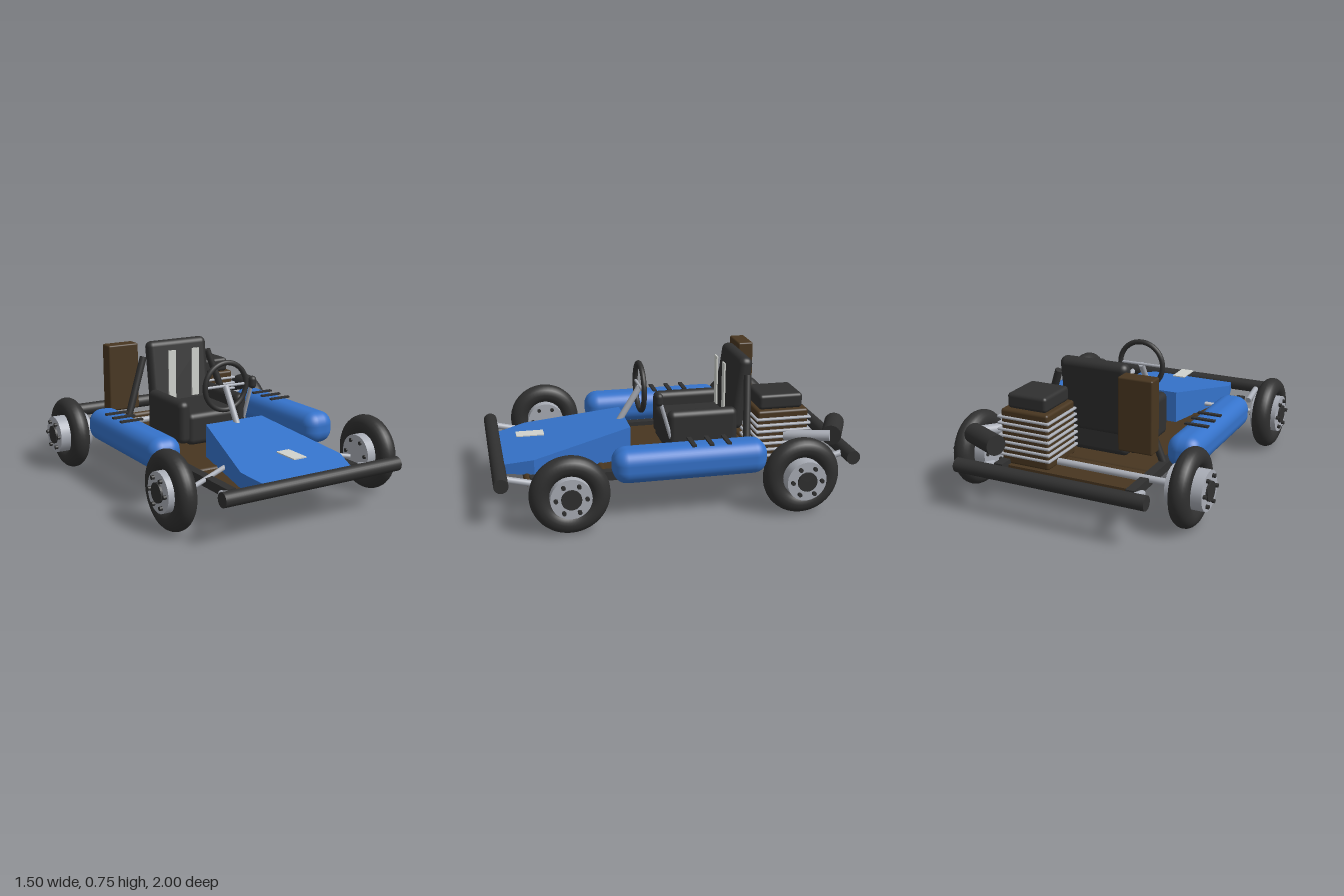
import * as THREE from 'three';
import { RoundedBoxGeometry } from 'three/addons/geometries/RoundedBoxGeometry.js';

const mat = (name, color) => {
  const m = new THREE.MeshStandardMaterial({ color });
  m.name = name;
  return m;
};

export function createModel() {
  const kart = new THREE.Group();
  kart.name = 'kart';
  const black = mat('black', 0x303030);
  const blue = mat('blue', 0x3573cb);
  const brown = mat('brown', 0x483620);
  const metal = mat('metal', 0xa9adb6);
  const light = mat('light grey', 0xd0d2cd);

  const add = (name, geo, material, x = 0, y = 0, z = 0, parent = kart) => {
    const m = new THREE.Mesh(geo, material);
    m.name = name;
    m.position.set(x, y, z);
    parent.add(m);
    return m;
  };
  const box = (name, w, h, d, material, x, y, z) =>
    add(name, new THREE.BoxGeometry(w, h, d), material, x, y, z);
  const soft = (name, w, h, d, r, material, x, y, z) =>
    add(name, new RoundedBoxGeometry(w, h, d, 5, r), material, x, y, z);
  // Round bar between two points
  const rod = (name, a, b, r, material, parent = kart) => {
    const p = new THREE.Vector3(...a), q = new THREE.Vector3(...b);
    const dir = q.clone().sub(p);
    const m = add(name, new THREE.CylinderGeometry(r, r, dir.length(), 24), material, 0, 0, 0, parent);
    m.position.copy(p).add(q).multiplyScalar(0.5);
    m.quaternion.setFromUnitVectors(new THREE.Vector3(0, 1, 0), dir.normalize());
    return m;
  };

  // Chassis: floor pan, side rails and cross tubes
  box('floorPan', 0.74, 0.02, 1.54, brown, 0, 0.19, 0.01);
  for (const s of [-1, 1]) box('sideRail', 0.05, 0.05, 1.62, black, s * 0.387, 0.2, -0.01);
  for (const z of [-0.83, -0.5, 0.4, 0.81])
    rod('crossTube', [-0.385, 0.19, z], [0.385, 0.19, z], 0.021, brown);

  // Bumpers with their brackets
  for (const s of [-1, 1]) {
    rod(s > 0 ? 'frontBumper' : 'rearBumper', [-0.545, 0.245, s * 0.961], [0.545, 0.245, s * 0.961], 0.039, black);
    for (const x of [-0.44, 0.44])
      rod('bumperBracket', [x, 0.205, s * 0.785], [x, 0.245, s * 0.95], 0.018, metal);
  }

  // Wheels: tyre, rim, hub cap and bolts, built along +x and turned for the right side
  const makeWheel = (name, side, z, inner, outer) => {
    const wheel = new THREE.Group();
    wheel.name = name;
    const tyre = new THREE.TorusGeometry(0.155, 0.055, 20, 48);
    tyre.rotateY(Math.PI / 2);
    add('tyre', tyre, black, 0, 0, 0, wheel);
    rod('rim', [inner, 0, 0], [outer, 0, 0], 0.108, metal, wheel);
    rod('hubCap', [outer, 0, 0], [outer + 0.012, 0, 0], 0.053, black, wheel);
    for (let i = 0; i < 6; i++) {
      const a = i * Math.PI / 3, y = 0.08 * Math.sin(a), bz = 0.08 * Math.cos(a);
      rod('bolt', [inner - 0.008, y, bz], [outer + 0.016, y, bz], 0.011, black, wheel);
    }
    wheel.position.set(side * 0.633, 0.21, z);
    if (side < 0) wheel.rotation.y = Math.PI;
    kart.add(wheel);
  };
  for (const s of [-1, 1]) {
    makeWheel('frontWheel', s, 0.62, -0.085, 0.071);
    makeWheel('rearWheel', s, -0.623, -0.1, 0.1);
    rod('steeringArm', [s * 0.24, 0.24, 0.515], [s * 0.51, 0.2, 0.62], 0.013, metal);
  }
  rod('rearAxle', [-0.55, 0.215, -0.63], [0.55, 0.215, -0.63], 0.019, metal);

  // Side pods with vent slats
  for (const s of [-1, 1]) {
    soft('sidePod', 0.19, 0.185, 0.84, 0.075, blue, s * 0.504, 0.297, -0.042);
    for (const z of [-0.242, -0.147, -0.052]) box('ventSlat', 0.135, 0.01, 0.024, black, s * 0.504, 0.395, z);
  }

  // Nose cone: flat outline raised to a sloping top
  const outline = new THREE.Shape(
    [[-0.185, 0.22], [-0.315, 0.77], [-0.27, 0.93], [0.27, 0.93], [0.315, 0.77], [0.185, 0.22]]
      .map(([x, z]) => new THREE.Vector2(x, -z)));
  const nose = new THREE.ExtrudeGeometry(outline, { depth: 1, bevelEnabled: false });
  nose.rotateX(-Math.PI / 2);
  const p = nose.attributes.position;
  for (let i = 0; i < p.count; i++)
    p.setY(i, p.getY(i) > 0.5 ? 0.39 - 0.185 * (p.getZ(i) - 0.22) : 0.205);
  nose.computeVertexNormals();
  add('noseCone', nose, blue);
  box('nosePlate', 0.08, 0.006, 0.155, light, 0, 0.33, 0.763);

  // Steering wheel and column
  add('steeringWheel', new THREE.TorusGeometry(0.135, 0.015, 14, 48), black, 0, 0.565, 0.13);
  rod('steeringSpoke', [-0.13, 0.567, 0.13], [0.13, 0.567, 0.13], 0.008, metal);
  rod('steeringColumn', [0, 0.565, 0.13], [0, 0.35, 0.265], 0.018, metal);

  // Seat: cushion, bolsters, backrest, stripes and braces
  soft('seatCushion', 0.34, 0.19, 0.42, 0.035, black, 0, 0.3, -0.2);
  const back = soft('seatBack', 0.4, 0.42, 0.08, 0.036, black, 0, 0.54, -0.418);
  back.rotation.x = -0.14;
  for (const s of [-1, 1]) {
    soft('seatBolster', 0.075, 0.25, 0.4, 0.035, black, s * 0.19, 0.345, -0.19);
    box('seatStripe', 0.048, 0.29, 0.009, light, s * 0.08, 0.555, -0.343);
    rod('seatBrace', [s * 0.385, 0.2, -0.395], [s * 0.222, 0.66, -0.44], 0.021, black);
  }

  // Gear lever
  rod('gearLever', [0.2, 0.2, -0.04], [0.223, 0.55, 0.062], 0.011, metal);
  add('gearKnob', new THREE.CapsuleGeometry(0.023, 0.028, 6, 16), black, 0.224, 0.55, 0.065);

  // Upright tank behind the seat
  soft('tank', 0.195, 0.4, 0.09, 0.01, brown, -0.312, 0.53, -0.563);

  // Engine block with cooling fins and air box
  soft('engineBlock', 0.285, 0.31, 0.29, 0.015, brown, 0.27, 0.35, -0.59);
  for (let i = 0; i < 7; i++)
    soft('coolingFin', 0.315, 0.014, 0.315, 0.006, metal, 0.272, 0.25 + i * 0.035, -0.59);
  soft('airBox', 0.235, 0.085, 0.25, 0.02, black, 0.268, 0.545, -0.585);

  // Exhaust pipe and muffler
  rod('exhaustPipe', [0.41, 0.36, -0.6], [0.53, 0.38, -0.82], 0.03, metal);
  const muffler = add('muffler', new THREE.CylinderGeometry(0.055, 0.055, 0.23, 32), black, 0.42, 0.38, -0.88);
  muffler.quaternion.setFromUnitVectors(new THREE.Vector3(0, 1, 0), new THREE.Vector3(0.88, 0, -0.475 * -1).normalize());
  muffler.rotation.order = 'XYZ';
  // The muffler falls towards the rear bumper on its outer end
  muffler.quaternion.setFromUnitVectors(new THREE.Vector3(0, 1, 0), new THREE.Vector3(0.9, 0, 0.44).normalize());

  return kart;
}
